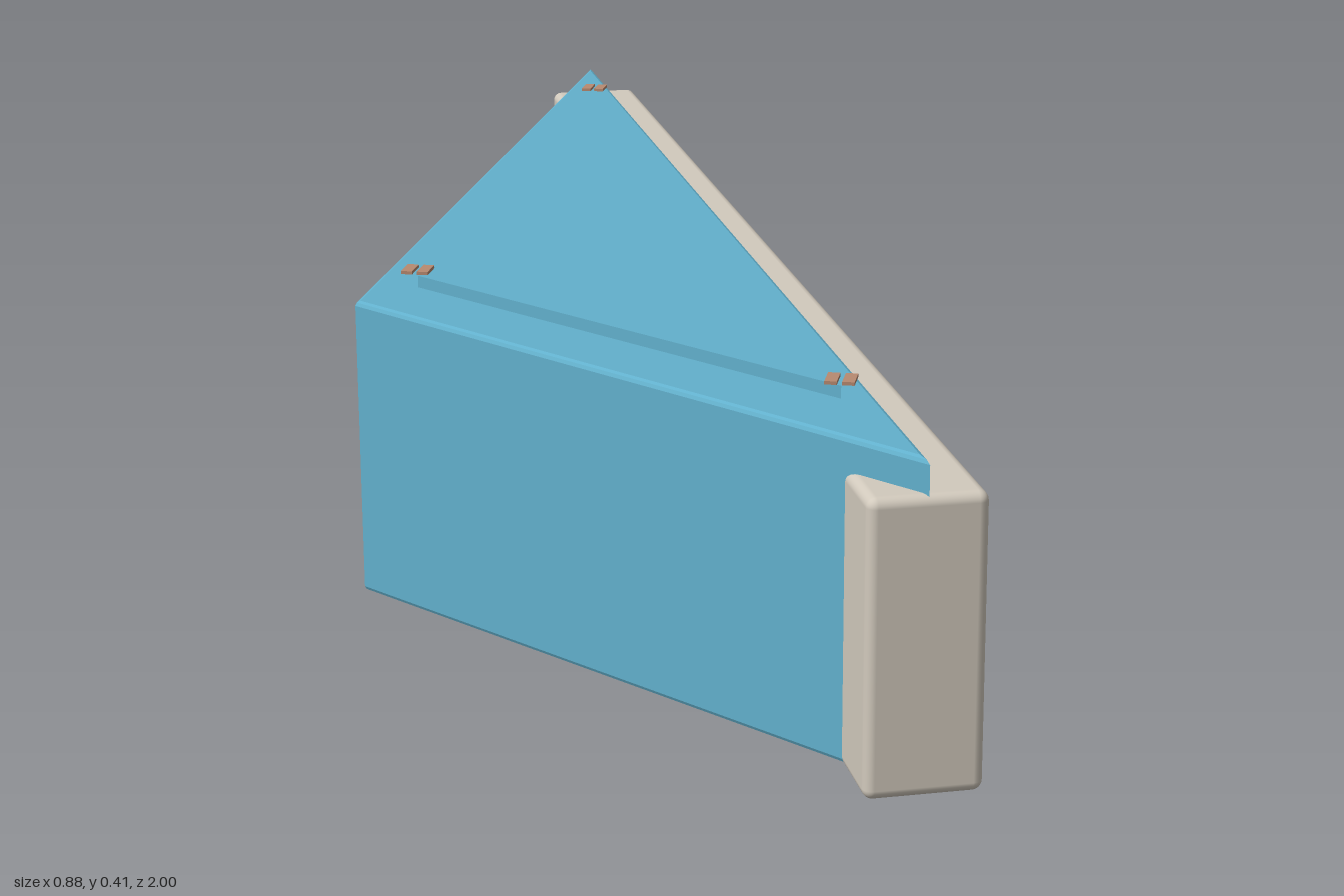
import * as THREE from 'three';
import { RoundedBoxGeometry } from 'three/addons/geometries/RoundedBoxGeometry.js';

// Triangular prism with bevelled rims: layers are [height, inset] pairs from bottom to top,
// and each layer shrinks the triangle toward its incentre so the inset is even on all sides.
function triPrism(points, layers) {
  const [a, b, c] = points.map(([x, z]) => new THREE.Vector2(x, z));
  const la = b.distanceTo(c), lb = c.distanceTo(a), lc = a.distanceTo(b);
  const sum = la + lb + lc;
  const centre = new THREE.Vector2()
    .addScaledVector(a, la / sum).addScaledVector(b, lb / sum).addScaledVector(c, lc / sum);
  const inradius = Math.abs((b.x - a.x) * (c.y - a.y) - (b.y - a.y) * (c.x - a.x)) / sum;
  const rings = layers.map(([y, inset]) => [a, b, c].map((p) => {
    const q = p.clone().lerp(centre, inset / inradius);
    return [q.x, y, q.y];
  }));
  const pos = [];
  const tri = (...corners) => corners.forEach((p) => pos.push(...p));
  for (let k = 0; k < rings.length - 1; k++) {
    const lo = rings[k], hi = rings[k + 1];
    for (let i = 0; i < 3; i++) {
      const j = (i + 1) % 3;
      tri(lo[i], lo[j], hi[j]);
      tri(lo[i], hi[j], hi[i]);
    }
  }
  const [bottom, top] = [rings[0], rings[rings.length - 1]];
  tri(...top);
  tri(bottom[2], bottom[1], bottom[0]);
  const geometry = new THREE.BufferGeometry();
  geometry.setAttribute('position', new THREE.Float32BufferAttribute(pos, 3));
  geometry.computeVertexNormals();
  return geometry;
}

export function createModel() {
  const blue = new THREE.MeshStandardMaterial({ color: 0x62b0cc });
  blue.name = 'blue';
  const stone = new THREE.MeshStandardMaterial({ color: 0xd2cabd });
  stone.name = 'warm grey';
  const copper = new THREE.MeshStandardMaterial({ color: 0xb88a70 });
  copper.name = 'copper';

  const model = new THREE.Group();
  model.name = 'wedgeBlock';
  const add = (name, geometry, material, parent = model) => {
    const mesh = new THREE.Mesh(geometry, material);
    mesh.name = name;
    parent.add(mesh);
    return mesh;
  };

  // Long diagonal backing beam
  const beam = add('backingBeam', new RoundedBoxGeometry(0.135, 0.346, 2.102, 3, 0.012), stone);
  beam.position.y = 0.173;
  beam.rotation.y = 0.37;

  // Triangular body, rims rounded in two steps
  const outline = [[-0.383, -0.98], [-0.383, 0.48], [0.379, 0.976]];
  add('triangularBody', triPrism(outline, [
    [0.003, 0.006], [0.005, 0.002], [0.009, 0],
    [0.379, 0], [0.383, 0.002], [0.385, 0.006],
  ]), blue);

  // Raised panel on top
  const corners = [[-0.322, -0.71], [-0.322, 0.405], [0.26, 0.78]];
  add('raisedPanel', triPrism(corners, [[0.384, 0], [0.4, 0]]), blue);

  // Pair of thin clips at each panel corner
  corners.forEach(([x, z]) => {
    const clip = new THREE.Group();
    clip.name = 'cornerClip';
    clip.position.set(x, 0.408, z);
    for (const side of [-1, 1]) {
      add('clipPlate', new THREE.BoxGeometry(0.014, 0.004, 0.034), copper, clip).position.x = side * 0.01;
    }
    model.add(clip);
  });

  return model;
}
